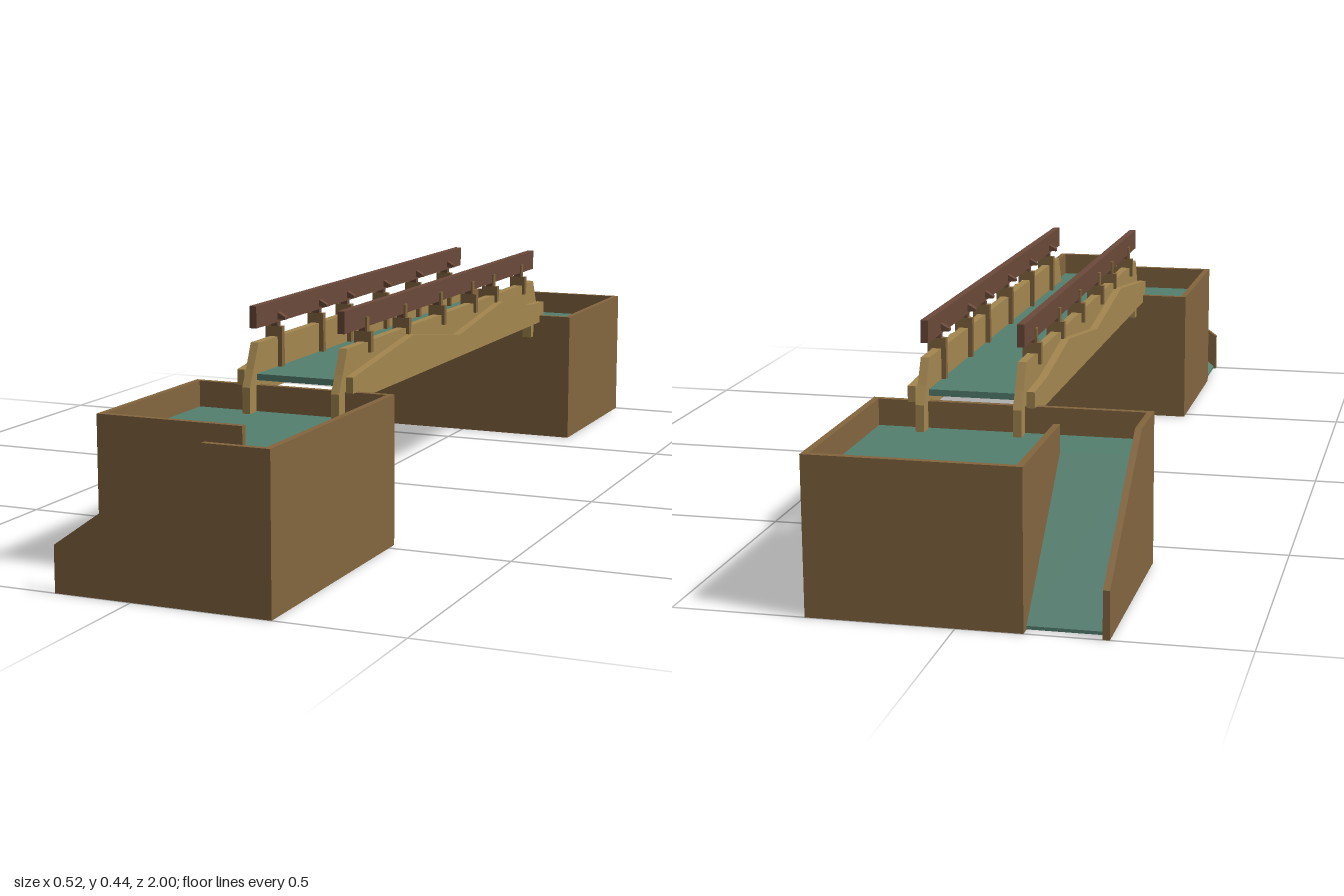
import * as THREE from 'three';

const mat = (color) => new THREE.MeshStandardMaterial({ color, flatShading: true });
const WALL = mat(0x84663f), BEAM = mat(0xa48750), RAIL = mat(0x6b4a3a), FLOOR = mat(0x558070);

const RIM = 0.285, DECK = 0.235, T = 0.012; // wall top, floor level, wall thickness

export function createModel() {
  const model = new THREE.Group();

  const add = (parent, name, geometry, material) => {
    const mesh = new THREE.Mesh(geometry, material);
    mesh.name = name;
    parent.add(mesh);
    return mesh;
  };
  // box given by its two extreme corners
  const box = (parent, name, material, x0, x1, y0, y1, z0, z1) => add(parent, name,
    new THREE.BoxGeometry(x1 - x0, y1 - y0, z1 - z0)
      .translate((x0 + x1) / 2, (y0 + y1) / 2, (z0 + z1) / 2), material);
  const shape = (pts) => new THREE.Shape(pts.map(([a, b]) => new THREE.Vector2(a, b)));
  // profile in (x, y) extruded from z0 to z1
  const alongZ = (parent, name, material, pts, z0, z1) => add(parent, name,
    new THREE.ExtrudeGeometry(shape(pts), { depth: z1 - z0, bevelEnabled: false })
      .translate(0, 0, z0), material);
  // profile in (z, y) extruded from x0 to x1
  const alongX = (parent, name, material, pts, x0, x1) => add(parent, name,
    new THREE.ExtrudeGeometry(shape(pts), { depth: x1 - x0, bevelEnabled: false })
      .rotateY(-Math.PI / 2).translate(x1, 0, 0), material);
  const block = (parent, x0, x1, z0, z1) => {
    box(parent, 'platformBase', WALL, x0, x1, 0, DECK - 0.01, z0, z1);
    box(parent, 'platformFloor', FLOOR, x0, x1, DECK - 0.01, DECK, z0, z1);
  };
  const wall = (parent, x0, x1, z0, z1) => box(parent, 'platformWall', WALL, x0, x1, 0, RIM, z0, z1);

  // Front platform: ramp along its front edge, going down towards -x
  const front = new THREE.Group();
  front.name = 'frontPlatform';
  model.add(front);
  {
    const l = -0.147, r = 0.262, back = 0.475, mid = 0.85, end = 1, top = 0.137;
    block(front, l + T, r - T, back + T, mid - T);
    block(front, top, r - T, mid - T, end - T);
    wall(front, l, r, back, back + T);
    wall(front, l, l + T, back + T, mid);
    wall(front, r - T, r, back + T, end);
    wall(front, l + T, top, mid - T, mid);
    alongZ(front, 'rampWall', WALL,
      [[l, 0], [r - T, 0], [r - T, RIM], [top, RIM], [l, 0.085]], end - T, end);
    alongZ(front, 'ramp', FLOOR, [[l + 0.006, 0], [top, 0], [top, DECK], [l + 0.006, 0.006]], mid, end - T);
  }

  // Back platform: ramp along its -x edge, going down towards -z
  const rear = new THREE.Group();
  rear.name = 'backPlatform';
  model.add(rear);
  {
    const l = -0.262, m = -0.117, r = 0.262, end = -1, face = -0.595, top = -0.72;
    block(rear, m + T, r - T, end + T, face - T);
    block(rear, l + T, m + T, top, face - T);
    wall(rear, l, r, face - T, face);
    wall(rear, r - T, r, end, face - T);
    wall(rear, m, r - T, end, end + T);
    wall(rear, m, m + T, end + T, top);
    alongX(rear, 'rampWall', WALL,
      [[end, 0], [face - T, 0], [face - T, RIM], [top, RIM], [end, 0.085]], l, l + T);
    alongX(rear, 'ramp', FLOOR, [[-0.978, 0], [top, 0], [top, DECK], [-0.978, 0.006]], l + T, m);
  }

  // Bridge, built around its own centre line
  const bridge = new THREE.Group();
  bridge.name = 'bridge';
  bridge.position.x = 0.071;
  model.add(bridge);
  box(bridge, 'bridgeDeck', FLOOR, -0.083, 0.083, 0.295, 0.307, -0.605, 0.49);

  // Beam with chamfered ends that hook over both platform walls
  const beam = [[-0.64, DECK], [-0.612, DECK], [-0.612, RIM], [-0.59, RIM], [-0.59, 0.27],
    [0.47, 0.27], [0.47, RIM], [0.492, RIM], [0.492, DECK], [0.52, DECK], [0.52, 0.285],
    [0.503, 0.318], [0.482, 0.365], [-0.6, 0.365], [-0.622, 0.318], [-0.64, 0.285]];
  // Outer board with a zigzag top edge
  const board = [[-0.593, 0.27], [0.473, 0.27], [0.473, RIM], [0.5, RIM], [0.5, 0.315],
    [0.2, 0.353], [-0.06, 0.316], [-0.33, 0.352], [-0.52, 0.32], [-0.62, 0.315],
    [-0.62, RIM], [-0.593, RIM]];
  const posts = { '1': [-0.515, -0.325, -0.19, 0, 0.195, 0.387], '-1': [-0.52, -0.325, -0.135, 0.06, 0.2, 0.392] };

  for (const s of [1, -1]) {
    const side = new THREE.Group();
    side.name = s > 0 ? 'leftSide' : 'rightSide';
    bridge.add(side);
    // range across the bridge, mirrored by side
    const span = (a, b) => (s > 0 ? [a, b] : [-b, -a]);

    alongX(side, 'beam', BEAM, beam, ...span(0.083, 0.099));
    alongX(side, 'outerBoard', BEAM, board, ...span(0.104, 0.119));
    for (const z of [0.466, -0.586])
      box(side, 'hangingFoot', BEAM, ...span(0.083, 0.103), DECK, 0.275, z - 0.009, z + 0.009);
    box(side, 'handrail', RAIL, ...span(0.083, 0.097), 0.393, 0.435, -0.605, 0.49);

    // Clamps over the beam that carry the handrail
    for (const z of posts[s]) {
      const z0 = z - 0.006, z1 = z + 0.006;
      box(side, 'clampTop', WALL, ...span(0.074, 0.109), 0.365, 0.385, z0, z1);
      box(side, 'clampInnerLeg', WALL, ...span(0.074, 0.083), 0.307, 0.365, z0, z1);
      box(side, 'clampOuterLeg', WALL, ...span(0.103, 0.109), 0.345, 0.365, z0, z1);
      box(side, 'railPost', RAIL, ...span(0.083, 0.097), 0.385, 0.393, z0, z1);
      box(side, 'railStay', WALL, ...span(0.097, 0.101), 0.385, 0.412, z0, z1);
      const tab = [[0.083, 0.398], [0.083, 0.412], [0.067, 0.403], [0.067, 0.398]];
      alongZ(side, 'railTab', RAIL, tab.map(([x, y]) => [x * s, y]), z0, z1);
    }
  }
  return model;
}
